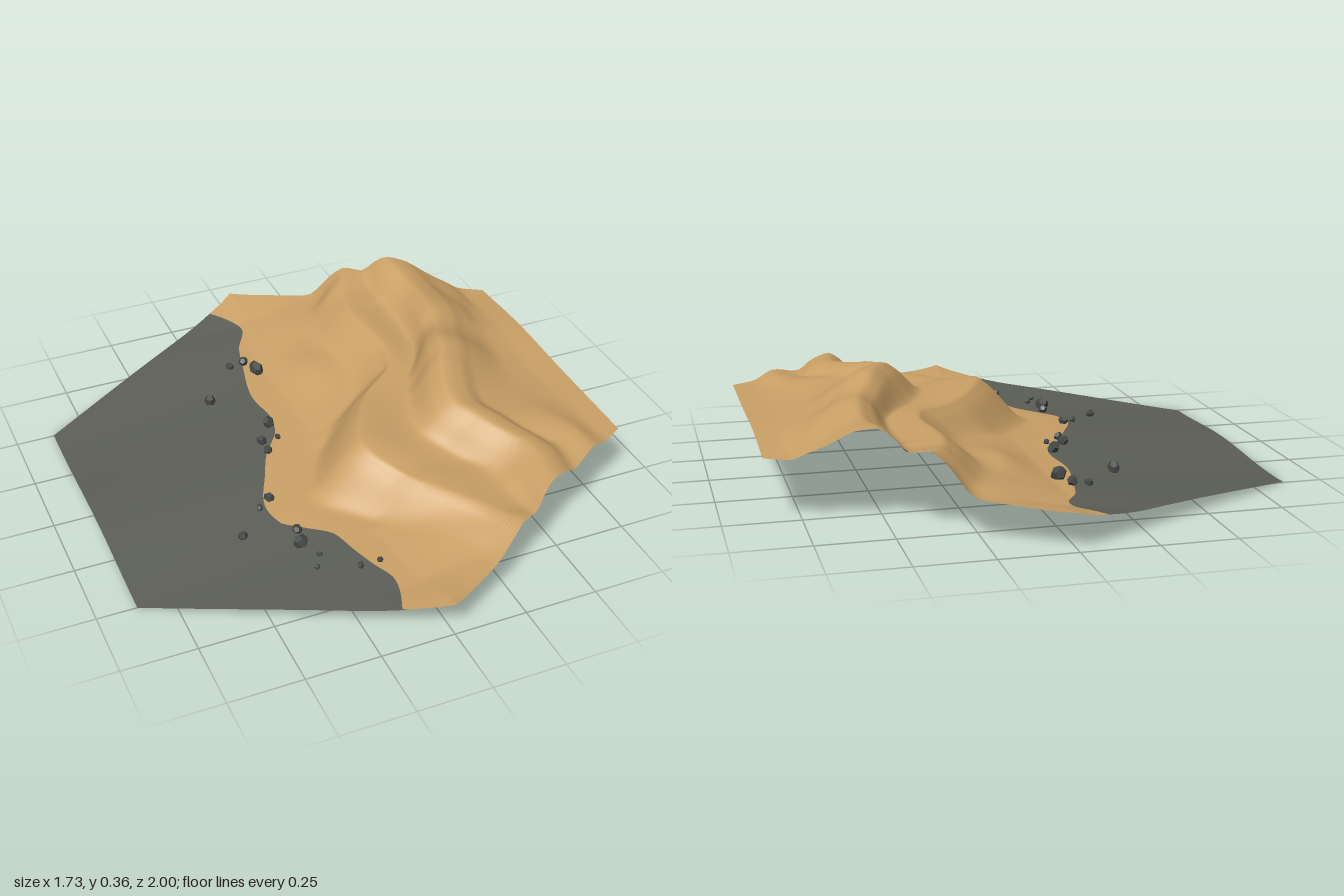
import * as THREE from 'three';

// Smooth curve through [t, value] points that never overshoots them
function curve(p) {
  const n = p.length, d = [], m = [];
  for (let i = 0; i < n - 1; i++) d.push((p[i + 1][1] - p[i][1]) / (p[i + 1][0] - p[i][0]));
  for (let i = 0; i < n; i++) {
    if (i === 0 || i === n - 1) m.push(d[i === 0 ? 0 : n - 2]);
    else m.push(d[i - 1] * d[i] <= 0 ? 0 : 2 * d[i - 1] * d[i] / (d[i - 1] + d[i]));
  }
  return t => {
    let i = 0;
    while (i < n - 2 && t > p[i + 1][0]) i++;
    const h = p[i + 1][0] - p[i][0], s = Math.min(1, Math.max(0, (t - p[i][0]) / h));
    const a = 1 - s;
    return p[i][1] * a * a * (1 + 2 * s) + m[i] * h * s * a * a
      + p[i + 1][1] * s * s * (3 - 2 * s) - m[i + 1] * h * s * s * a;
  };
}

// Plan lines, x as a function of z
const shore = curve([[-1, -0.16], [-0.94, -0.11], [-0.79, -0.03], [-0.67, -0.085], [-0.57, -0.11],
  [-0.35, -0.15], [-0.21, -0.135], [-0.13, -0.15], [-0.01, -0.23], [0.08, -0.27], [0.26, -0.335],
  [0.34, -0.32], [0.4, -0.26], [0.48, -0.18], [0.58, -0.155], [0.67, -0.13], [0.77, -0.1],
  [0.91, -0.14], [1, -0.2]]);
const crest1 = curve([[-1, 0.42], [-0.77, 0.4], [-0.68, 0.35], [-0.5, 0.31], [-0.26, 0.33],
  [-0.15, 0.31], [0, 0.15], [0.2, 0.03], [0.27, 0.01], [0.45, 0.1], [0.69, 0.27], [0.82, 0.33], [1, 0.35]]);
const crest2 = curve([[-1, 0.53], [-0.66, 0.54], [-0.45, 0.555], [-0.24, 0.53], [-0.1, 0.47],
  [0, 0.44], [0.08, 0.4], [0.25, 0.355], [0.37, 0.41], [0.56, 0.5], [0.72, 0.485], [1, 0.48]]);
const slope1 = curve([[-1, 0.14], [-0.3, 0.14], [0.05, 0.17], [0.27, 0.2], [0.6, 0.15], [1, 0.14]]);

// Heights along the dune crests and the trough between them
const height1 = curve([[-1, 0.28], [-0.77, 0.275], [-0.6, 0.245], [-0.2, 0.24], [0, 0.232],
  [0.25, 0.238], [0.45, 0.2], [0.69, 0.185], [0.82, 0.2], [1, 0.2]]);
const height2 = curve([[-1, 0.33], [-0.68, 0.33], [-0.5, 0.315], [-0.3, 0.333], [-0.2, 0.325],
  [-0.02, 0.355], [0.3, 0.312], [0.5, 0.272], [0.72, 0.262], [1, 0.26]]);
const trough = curve([[-1, 0.27], [-0.7, 0.265], [-0.5, 0.235], [0, 0.225], [0.25, 0.215],
  [0.45, 0.185], [0.7, 0.18], [0.8, 0.195], [1, 0.2]]);
const edgeHeight = curve([[-0.5, 0.208], [-0.2, 0.222], [0.1, 0.212], [0.5, 0.206]]);

// Gently sloping, slightly wavy ground in front of the dunes
const climb = curve([[0, 0.19], [0.6, 0.19], [0.85, 0.09], [1, 0.09]]);
function ground(x, z) {
  const flat = 0.008 + 0.085 * (x + 0.866);
  const wave = 0.008 * Math.cos(7 * z - 0.4) * Math.max(0, 1 - (x + 0.866) / 1.3);
  const tip = 0.2 * Math.max(0, Math.abs(z) - 0.82) * Math.max(0, 1 - Math.abs(x) * 4);
  const mound = 0.022 * Math.exp(-(((x - 0.08) / 0.08) ** 2) - ((z + 0.38) / 0.14) ** 2);
  return flat + wave + tip + mound + climb(Math.abs(z)) * Math.max(0, x + 0.05);
}

// Height across one row: ground, steep face, crest, trough, steep face, crest, tail
function rowHeight(z) {
  const c1 = crest1(z), c2 = crest2(z), h1 = height1(z), h2 = height2(z);
  const foot = c1 - slope1(z), start = foot - 0.07, end = edgeHeight(z);
  const dunes = curve([
    [start, ground(start, z)], [foot, ground(foot, z)],
    [c1 - 0.035, h1 - 0.022], [c1, h1],
    [c2 - Math.min(0.14, (c2 - c1) * 0.5), Math.min(trough(z), h1 - 0.004)],
    [c2 - 0.045, h2 - 0.027], [c2, h2], [c2 + 0.06, h2 - 0.014], [c2 + 0.12, h2 - 0.05],
    [(c2 + 0.866) / 2 + 0.03, 0.236], [0.79, end + 0.002], [0.866, end]]);
  return x => {
    const fade = Math.min(1, Math.max(0, (x - shore(z)) / 0.15)) * Math.min(1, (0.866 - x) / 0.2);
    const ripple = 0.004 * fade * Math.sin(11 * x + 4 * z) * Math.sin(8 * z - 3 * x);
    return (x < start ? ground(x, z) : dunes(x)) + ripple;
  };
}

// Grid sheet inside the hexagon, between two x limits per row
function sheet(columns, from, to) {
  const rows = 160, pos = [], index = [];
  for (let j = 0; j <= rows; j++) {
    const z = -1 + 2 * j / rows, y = rowHeight(z);
    const x0 = from(z), x1 = to(z);
    for (let i = 0; i <= columns; i++) {
      const x = x0 + (x1 - x0) * i / columns;
      pos.push(x, y(x), z);
      if (i < columns && j < rows) {
        const a = j * (columns + 1) + i, c = a + columns + 1;
        index.push(a, c, a + 1, a + 1, c, c + 1);
      }
    }
  }
  const g = new THREE.BufferGeometry();
  g.setAttribute('position', new THREE.Float32BufferAttribute(pos, 3));
  g.setIndex(index);
  g.computeVertexNormals();
  return g;
}

export function createModel() {
  const group = new THREE.Group();
  group.name = 'duneTile';
  const material = (name, color, extra) => Object.assign(new THREE.MeshStandardMaterial({ color, ...extra }), { name });
  const sand = material('sand', 0xcaa066, { side: THREE.DoubleSide });
  const grey = material('greyGround', 0x5c5e57, { side: THREE.DoubleSide });
  const stone = material('darkStone', 0x444845, { flatShading: true });

  const right = z => Math.min(0.866, (1 - Math.abs(z)) * Math.sqrt(3));
  const edge = z => Math.max(-right(z), Math.min(shore(z), right(z)));
  const add = (name, geometry, mat, parent = group) => {
    const mesh = new THREE.Mesh(geometry, mat);
    mesh.name = name;
    parent.add(mesh);
    return mesh;
  };
  add('greyGround', sheet(30, z => -right(z), edge), grey);
  add('sandDunes', sheet(130, edge, right), sand);

  // Stones scattered along the sand's edge: x, z, radius
  const stones = new THREE.Group();
  stones.name = 'stones';
  group.add(stones);
  const spots = [[-0.16, -0.57, 0.015], [-0.105, -0.57, 0.021], [-0.08, -0.5, 0.028], [-0.3, -0.4, 0.024],
    [-0.16, -0.17, 0.022], [-0.16, -0.08, 0.012], [-0.22, -0.08, 0.02], [-0.22, -0.02, 0.018],
    [-0.31, 0.22, 0.018], [-0.355, 0.25, 0.012], [-0.455, 0.355, 0.017], [-0.285, 0.41, 0.019],
    [-0.3, 0.475, 0.027], [-0.265, 0.55, 0.01], [-0.295, 0.605, 0.01], [-0.17, 0.665, 0.013], [-0.105, 0.67, 0.012]];
  const shape = new THREE.DodecahedronGeometry(1);
  spots.forEach(([x, z, r], i) => {
    const rock = add('stone', shape, stone, stones);
    rock.position.set(x, rowHeight(z)(x) + r * 0.6, z);
    rock.scale.set(r * (1 + 0.15 * Math.sin(i * 5)), r * 0.9, r * (1 + 0.15 * Math.cos(i * 3)));
    rock.rotation.set(i * 0.3, i * 1.7, i * 0.5);
  });
  return group;
}
